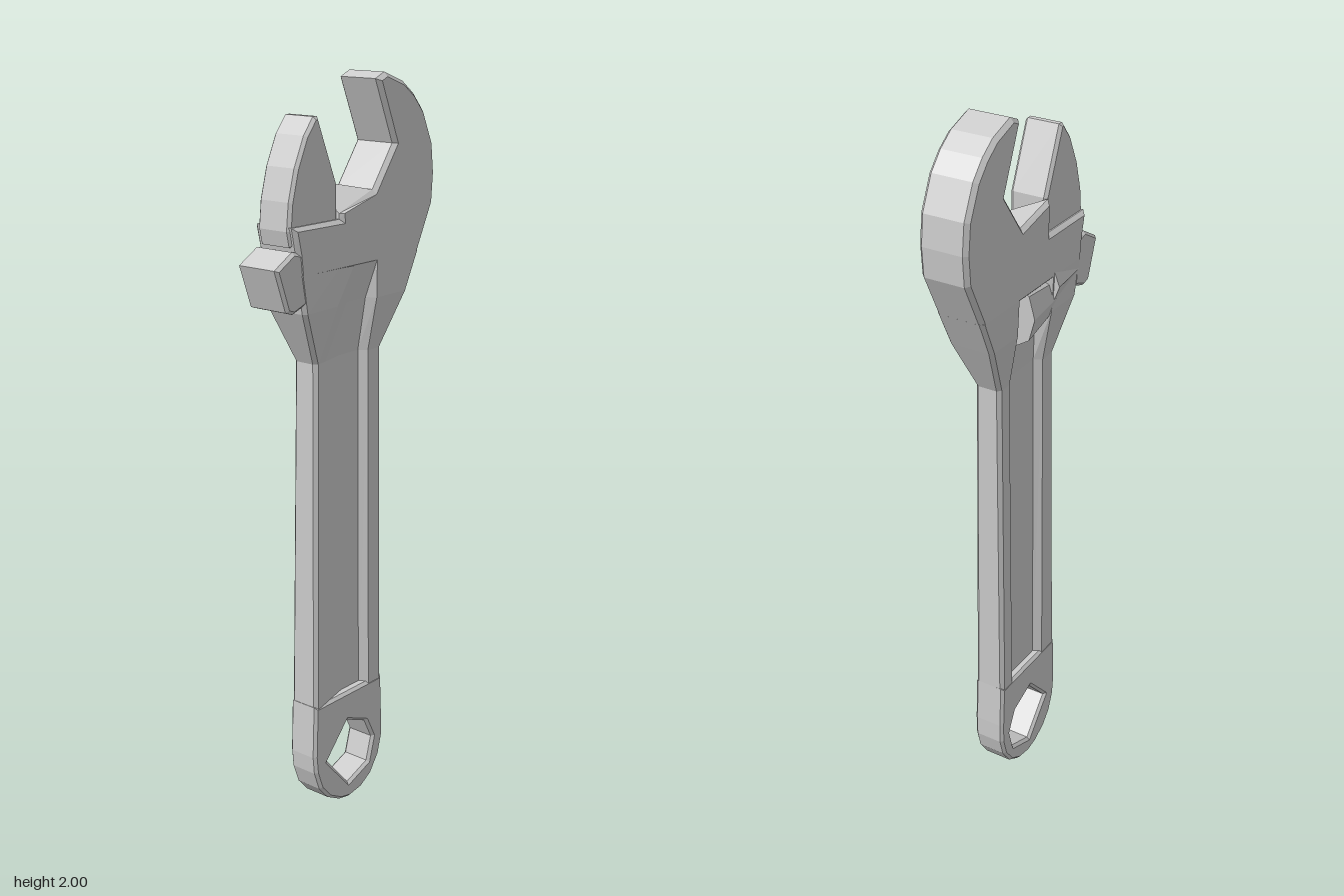
import * as THREE from 'three';

const material = new THREE.MeshStandardMaterial({ color: 0xcccccc, flatShading: true, side: THREE.DoubleSide });

function addMesh(group, name, geometry) {
  const mesh = new THREE.Mesh(geometry, material);
  mesh.name = name;
  group.add(mesh);
  return mesh;
}

const toVectors = (points) => points.map(([x, y]) => new THREE.Vector2(x, y));

// Chamfered plate between two depths, with an optional hole
function plate(points, back, front, bevel, hole) {
  const shape = new THREE.Shape(toVectors(points));
  if (hole) shape.holes.push(new THREE.Path(toVectors(hole)));
  const geometry = new THREE.ExtrudeGeometry(shape, {
    depth: front - back - 2 * bevel,
    bevelSize: bevel,
    bevelThickness: bevel,
    bevelOffset: -bevel,
    bevelSegments: 1,
  });
  return geometry.translate(0, 0, back + bevel);
}

// Cross-section with a sloped groove in front and a channel behind
function section({ y, left, right, front, back, grooveFront, grooveBack, grooveLeft }) {
  const c = 0.01;
  return [
    [left, front - c], [left + c, front],
    [grooveLeft, front - grooveFront * 0.25],
    [-0.02, front - grooveFront], [0.055, front - grooveFront], [0.07, front],
    [right - c, front], [right, front - c],
    [right, back + c], [right - c, back],
    [0.08, back], [0.065, back + grooveBack],
    [-0.07, back + grooveBack], [-0.085, back],
    [left + c, back], [left, back + c],
  ].map(([x, z]) => [x, y, z]);
}

// Skin joining successive cross-sections, closed at both ends
function loft(rings) {
  const n = rings[0].length;
  const index = [];
  for (let r = 0; r < rings.length - 1; r++) {
    for (let i = 0; i < n; i++) {
      const j = (i + 1) % n;
      const a = r * n + i, b = r * n + j;
      index.push(a, b, b + n, a, b + n, a + n);
    }
  }
  const ends = [[0, true], [rings.length - 1, false]];
  for (const [r, flip] of ends) {
    const outline = rings[r].map(([x, , z]) => new THREE.Vector2(x, -z));
    for (const [a, b, c] of THREE.ShapeUtils.triangulateShape(outline, [])) {
      const o = r * n;
      if (flip) index.push(o + a, o + c, o + b);
      else index.push(o + a, o + b, o + c);
    }
  }
  const geometry = new THREE.BufferGeometry();
  geometry.setAttribute('position', new THREE.Float32BufferAttribute(rings.flat(2), 3));
  geometry.setIndex(index);
  geometry.computeVertexNormals();
  return geometry;
}

export function createModel() {
  const wrench = new THREE.Group();
  wrench.name = 'adjustableWrench';

  // Rounded handle end with its six-cornered hanging hole
  const end = [[0.129, 0.33], [-0.155, 0.33], [-0.16, 0.18]];
  end.push([-0.155, 0.13], [-0.135, 0.075], [-0.1, 0.035], [-0.05, 0.008], [-0.01, 0]);
  end.push([0.04, 0.008], [0.085, 0.035], [0.12, 0.085], [0.135, 0.14], [0.135, 0.2]);
  const hole = [[-0.105, 0.15], [-0.02, 0.243], [0.06, 0.21], [0.09, 0.15], [0.07, 0.08], [-0.015, 0.048]];
  addMesh(wrench, 'handleEnd', plate(end, -0.037, 0.055, 0.008, hole));

  // Handle flaring into the neck of the head
  const rings = [
    { y: 0.31, left: -0.154, right: 0.129, front: 0.054, back: -0.036, grooveFront: 0.024, grooveBack: 0.022, grooveLeft: -0.095 },
    { y: 1.285, left: -0.14, right: 0.126, front: 0.045, back: -0.03, grooveFront: 0.022, grooveBack: 0.02, grooveLeft: -0.095 },
    { y: 1.43, left: -0.212, right: 0.199, front: 0.074, back: -0.055, grooveFront: 0.026, grooveBack: 0.04, grooveLeft: -0.08 },
    { y: 1.53, left: -0.23, right: 0.248, front: 0.075, back: -0.06, grooveFront: 0.002, grooveBack: 0.045, grooveLeft: -0.08 },
  ].map(section);
  addMesh(wrench, 'handleAndNeck', loft(rings));

  // Head with the hooked fixed jaw
  const head = [
    [-0.228, 1.518], [0.242, 1.518], [0.307, 1.65], [0.313, 1.73], [0.304, 1.81],
    [0.265, 1.895], [0.225, 1.94], [0.18, 1.973], [0.105, 2], [0.07, 1.985],
    [0.14, 1.82], [0.06, 1.71], [-0.07, 1.74], [-0.07, 1.65], [-0.25, 1.65], [-0.235, 1.58],
  ];
  const headGeometry = plate(head, -0.06, 0.075, 0.011);
  // Lower the front of the slide so its top slopes forward
  const p = headGeometry.attributes.position;
  for (let i = 0; i < p.count; i++) {
    const onSlideCorner = Math.abs(p.getX(i) + 0.07) < 0.025 && p.getY(i) > 1.7;
    if (onSlideCorner && p.getZ(i) > 0.03) p.setY(i, 1.665);
  }
  headGeometry.computeVertexNormals();
  addMesh(wrench, 'headAndFixedJaw', headGeometry);

  // Sliding jaw
  const jaw = [
    [-0.245, 1.6], [-0.07, 1.6], [-0.07, 1.74], [-0.14, 1.908], [-0.155, 1.908],
    [-0.19, 1.865], [-0.225, 1.79], [-0.247, 1.71], [-0.254, 1.64],
  ];
  addMesh(wrench, 'slidingJaw', plate(jaw, -0.045, 0.06, 0.008));

  // Wedge-shaped rack end standing out at the side
  const rack = [[-0.315, 1.555], [-0.275, 1.445], [-0.25, 1.437], [-0.2, 1.455], [-0.2, 1.58], [-0.25, 1.592]];
  addMesh(wrench, 'rackEnd', plate(rack, -0.058, 0.073, 0.008));

  // Adjusting screw bulging from the back, narrowing toward the rack
  const screw = new THREE.CylinderGeometry(0.058, 0.086, 0.14, 8);
  screw.rotateZ(Math.PI / 2).scale(1, 1, 0.66);
  addMesh(wrench, 'adjustingScrew', screw).position.set(-0.035, 1.46, -0.02);
  const collar = new THREE.CylinderGeometry(0.05, 0.075, 0.13, 6);
  collar.rotateZ(Math.PI / 2).scale(1, 1, 0.66);
  addMesh(wrench, 'screwCollar', collar).position.set(-0.155, 1.5, -0.025);

  return wrench;
}
